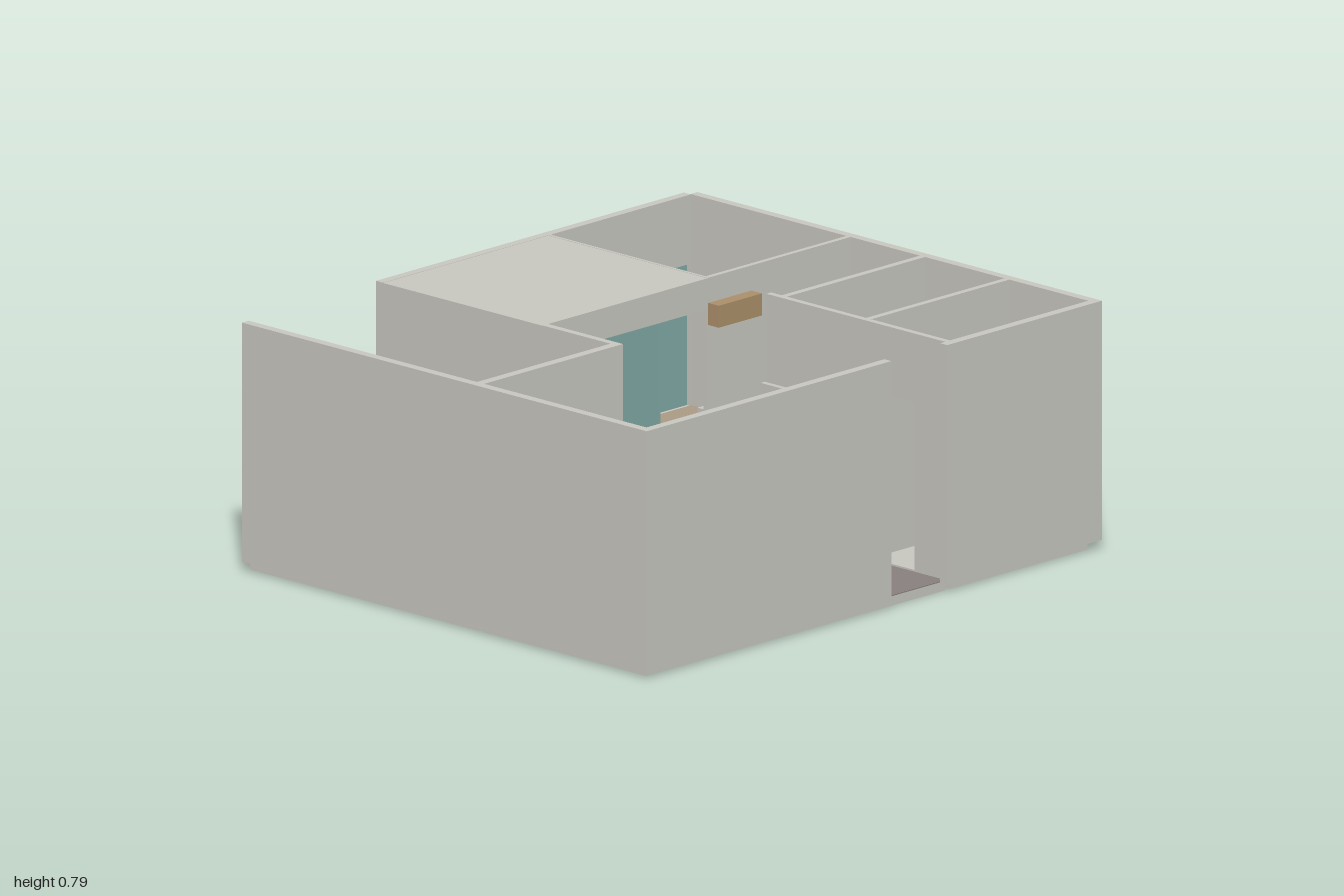
import * as THREE from 'three';

const mat = (name, color, extra = {}) => new THREE.MeshStandardMaterial({ name, color, ...extra });

export function createModel() {
  const house = new THREE.Group();
  house.name = 'apartment';
  const plaster = mat('plaster', 0xc9c8c1);
  const glass = mat('glass', 0x80aaa6);
  const dark = mat('darkFloor', 0x88817e);
  const wood = mat('wood', 0xaa9b84);
  const orange = mat('warmWood', 0xad906b);
  const F = 0.03, H = 0.79, FT = 0.033; // slab top, wall top, floor finish top

  // Box given by its extents
  const box = (name, m, x0, x1, y0, y1, z0, z1, parent = house) => {
    const mesh = new THREE.Mesh(new THREE.BoxGeometry(x1 - x0, y1 - y0, z1 - z0), m);
    mesh.position.set((x0 + x1) / 2, (y0 + y1) / 2, (z0 + z1) / 2);
    mesh.name = name;
    parent.add(mesh);
    return mesh;
  };

  // Upright panel in the xy plane with rectangular holes [a0, a1, y0, y1]
  const panel = (name, a0, a1, depth, holes) => {
    const rect = (P, u0, u1, v0, v1) => {
      const p = new P();
      p.moveTo(u0, v0); p.lineTo(u1, v0); p.lineTo(u1, v1); p.lineTo(u0, v1); p.closePath();
      return p;
    };
    const s = rect(THREE.Shape, a0, a1, F, H);
    holes.forEach(h => s.holes.push(rect(THREE.Path, ...h)));
    const mesh = new THREE.Mesh(new THREE.ExtrudeGeometry(s, { depth, bevelEnabled: false }), plaster);
    mesh.name = name;
    house.add(mesh);
    return mesh;
  };

  // Floor slabs, one per room: [x0, x1, z0, z1, has dark finish]
  [
    [-0.97, -0.375, -0.845, 0.13, false],
    [-0.97, -0.375, 0.15, 0.84, true],
    [-0.357, 0.342, -0.845, 0.84, true],
    [0.363, 0.967, -0.845, -0.185, true],
    [0.363, 0.967, -0.17, 0.125, true],
    [0.363, 0.967, 0.148, 0.483, false],
    [0.363, 0.967, 0.505, 0.84, false],
  ].forEach(([x0, x1, z0, z1, finish]) => {
    box('floorSlab', plaster, x0, x1, 0, F, z0, z1);
    if (finish) box('floorFinish', dark, x0, x1, F, FT, z0, z1);
  });

  // Outer walls, with the entrance gap at the front
  box('sideWall', plaster, -1, -0.97, F, H, -0.85, 0.87);
  box('sideWall', plaster, 0.97, 1, F, H, -0.85, 0.87);
  box('frontWall', plaster, -0.97, 0.075, F, H, 0.84, 0.87);
  box('frontWall', plaster, 0.32, 0.97, F, H, 0.84, 0.87);

  // Back wall with two large windows
  const backWindows = [[-0.16, 0.33, 0.12, 0.57], [0.37, 0.96, 0.12, 0.57]];
  panel('backWall', -0.385, 0.968, 0.03, backWindows).position.z = -0.876;
  backWindows.forEach(([a, b, c, d]) => box('backWindow', glass, a, b, c, d, -0.864, -0.856));

  // Balcony parapet
  box('parapet', dark, -0.97, -0.387, F, 0.28, -0.865, -0.85);

  // Ceiling over the kitchen
  box('kitchenCeiling', plaster, -0.384, 0.345, 0.69, H - 0.001, -0.847, -0.17);

  // Wall between balcony and left bedroom, with a window
  const bedWindow = [-0.84, -0.57, 0.12, 0.57];
  panel('bedroomWall', -0.97, -0.36, 0.03, [bedWindow]).position.z = 0.12;
  box('bedroomWindow', glass, ...bedWindow, 0.131, 0.139);

  // Wall between balcony and kitchen, with a doorway
  box('balconyWall', plaster, -0.384, -0.36, F, 0.69, -0.847, -0.19);
  box('balconyWall', plaster, -0.384, -0.36, 0.57, 0.69, -0.19, -0.17);
  box('balconyLintel', plaster, -0.384, -0.36, 0.57, H, -0.17, 0.02);
  box('balconyWall', plaster, -0.384, -0.36, F, H, 0.02, 0.12);

  // Stub wall and low glass divider beside the left bedroom
  box('stubWall', plaster, -0.375, -0.357, F, H, 0.75, 0.84);
  box('glassDivider', glass, -0.373, -0.358, F, 0.22, 0.15, 0.555);

  // Wall along the right-hand rooms, with a bathroom doorway
  box('hallWall', plaster, 0.342, 0.363, F, H, 0.08, 0.52);
  box('hallLintel', plaster, 0.342, 0.363, 0.57, H, 0.52, 0.71);
  box('hallWall', plaster, 0.342, 0.363, F, H, 0.71, 0.84);
  box('glassPartition', glass, 0.346, 0.358, F, 0.69, -0.846, -0.385);
  box('bedroomBeam', plaster, 0.342, 0.352, 0.69, H, -0.847, -0.185);

  // Cross walls between the right-hand rooms
  [[-0.187, -0.17], [0.125, 0.147], [0.484, 0.505]].forEach(([z0, z1]) =>
    box('crossWall', plaster, 0.343, 0.97, F, H, z0, z1));

  // Sofa
  const sofa = new THREE.Group();
  sofa.name = 'sofa';
  house.add(sofa);
  box('sofaBase', wood, -0.35, -0.178, FT, 0.09, 0.16, 0.53, sofa);
  box('sofaBack', wood, -0.35, -0.322, 0.09, 0.22, 0.16, 0.53, sofa);
  for (const z of [0.16, 0.508]) box('sofaArm', wood, -0.322, -0.178, 0.09, 0.16, z, z + 0.022, sofa);
  for (const z of [0.184, 0.347]) box('sofaCushion', plaster, -0.32, -0.18, 0.09, 0.13, z, z + 0.159, sofa);

  // Television and its cabinet
  box('televisionCabinet', wood, 0.262, 0.342, FT, 0.12, 0.13, 0.485);
  box('television', dark, 0.331, 0.341, 0.19, 0.36, 0.18, 0.45);

  // Low cabinets along the front wall
  box('entryCabinet', wood, -0.356, 0.05, FT, 0.25, 0.75, 0.84);
  box('bedroomCabinet', wood, -0.97, -0.376, FT, 0.25, 0.75, 0.84);

  // Left bedroom bed
  box('leftBed', wood, -0.97, -0.51, FT, 0.13, 0.151, 0.555);
  box('bedEndCabinet', orange, -0.51, -0.376, FT, 0.15, 0.151, 0.555);

  // Kitchen: refrigerator, counter and table
  box('refrigerator', plaster, -0.358, -0.22, FT, 0.43, -0.37, -0.22);
  box('kitchenCounter', plaster, -0.358, -0.2, FT, 0.25, -0.845, -0.37);
  const table = new THREE.Group();
  table.name = 'diningTable';
  house.add(table);
  box('tableTop', wood, -0.1, 0.183, 0.2, 0.23, -0.6, -0.32, table);
  for (const x of [-0.07, 0.135]) box('tableLeg', wood, x, x + 0.013, FT, 0.2, -0.57, -0.35, table);
  box('tableBench', wood, 0.148, 0.183, FT, 0.2, -0.6, -0.34, table);

  // Back bedroom
  box('bed', plaster, 0.505, 0.92, FT, 0.14, -0.71, -0.31);
  box('headboard', wood, 0.92, 0.968, FT, 0.25, -0.71, -0.31);
  for (const z of [-0.705, -0.552]) box('pillow', plaster, 0.85, 0.91, 0.14, 0.165, z, z + 0.125);
  box('windowCabinet', wood, 0.365, 0.968, FT, 0.12, -0.845, -0.712);

  // Study
  box('studyShelf', orange, 0.345, 0.535, 0.64, 0.71, -0.17, -0.125);
  box('studyDesk', wood, 0.365, 0.5, 0.2, 0.23, -0.125, 0.124);
  box('deskDrawers', wood, 0.365, 0.52, FT, 0.2, 0.03, 0.124);
  box('dayBed', wood, 0.83, 0.968, FT, 0.13, -0.169, 0.124);

  // First bathroom: tub with water, toilet, basin and tap
  box('tubBase', plaster, 0.785, 0.94, F, 0.11, 0.175, 0.455);
  for (const x of [0.785, 0.922]) box('tubSide', plaster, x, x + 0.018, 0.11, 0.14, 0.175, 0.455);
  for (const z of [0.175, 0.432]) box('tubEnd', plaster, 0.803, 0.922, 0.11, 0.14, z, z + 0.023);
  box('tubWater', glass, 0.803, 0.922, 0.11, 0.116, 0.198, 0.432);
  box('tap', dark, 0.955, 0.968, 0.2, 0.22, 0.307, 0.325);
  box('toilet', plaster, 0.43, 0.515, F, 0.13, 0.325, 0.475);
  box('basin', plaster, 0.64, 0.77, F, 0.23, 0.36, 0.455);

  // Second bathroom: basin, toilet and shower screen
  box('basin', plaster, 0.393, 0.5, F, 0.23, 0.71, 0.82);
  box('toilet', plaster, 0.57, 0.672, F, 0.13, 0.675, 0.82);
  box('showerScreen', glass, 0.726, 0.735, F, 0.57, 0.505, 0.84);

  return house;
}
